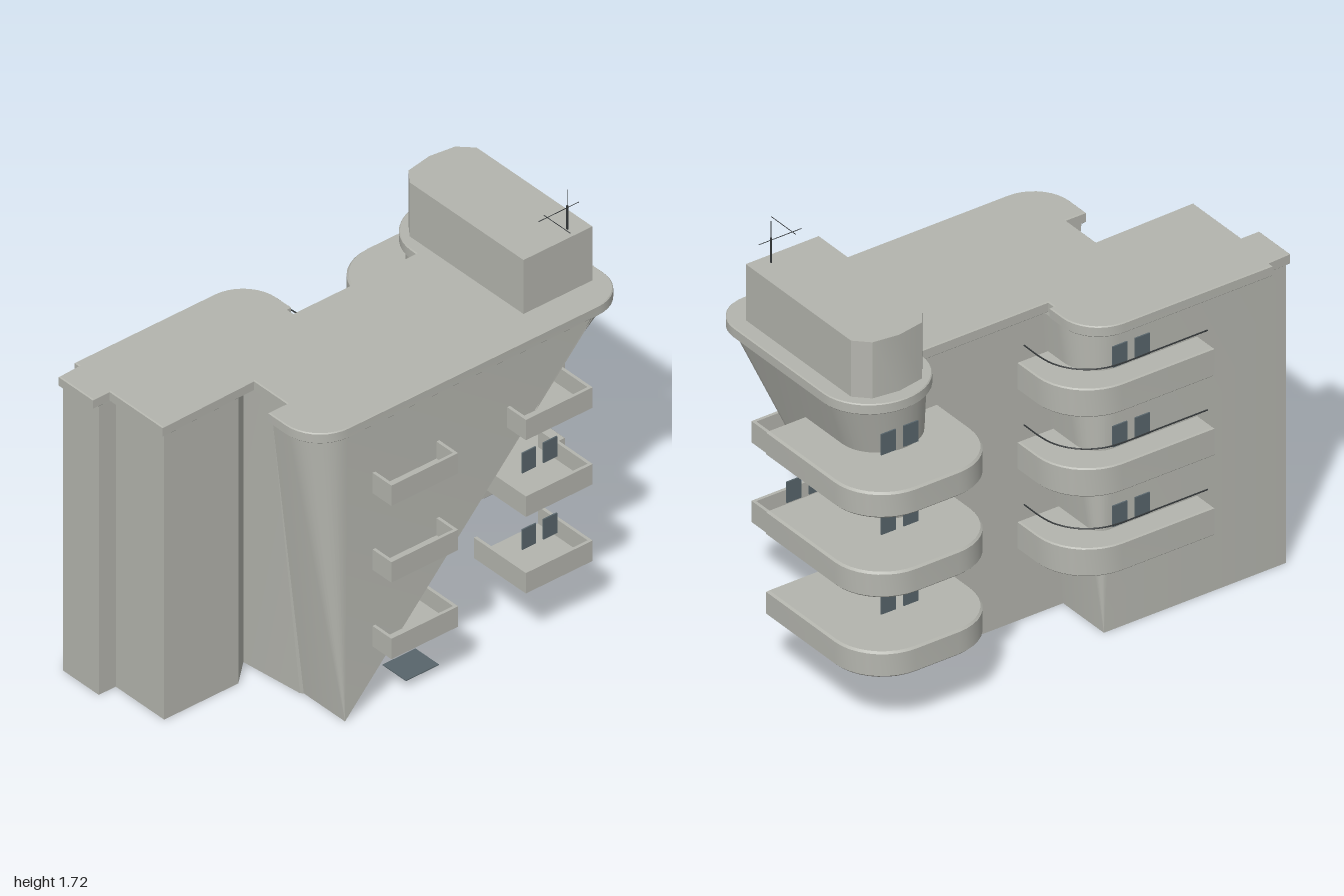
import * as THREE from 'three';
import { toCreasedNormals } from 'three/addons/utils/BufferGeometryUtils.js';

const material = (name, color) => {
  const m = new THREE.MeshStandardMaterial({ color, side: THREE.DoubleSide });
  m.name = name;
  return m;
};

// Points [x, z] along an elliptical arc
function arc(cx, cz, rx, rz, from, to, n = 9) {
  return Array.from({ length: n + 1 }, (_, i) => {
    const a = from + (to - from) * i / n;
    return [cx + rx * Math.cos(a), cz + rz * Math.sin(a)];
  });
}

const shapeOf = pts => new THREE.Shape(pts.map(p => new THREE.Vector2(p[0], p[1])));

// Horizontal slab with plan outline [x, z], from y0 up to y1
function slab(pts, y0, y1, bevel = 0) {
  const g = new THREE.ExtrudeGeometry(shapeOf(pts), {
    depth: y1 - y0 - 2 * bevel, bevelEnabled: bevel > 0,
    bevelSize: bevel, bevelThickness: bevel, bevelOffset: -bevel, bevelSegments: 1,
  });
  g.rotateX(Math.PI / 2).translate(0, y1 - bevel, 0);
  return toCreasedNormals(g, 0.5);
}

// Flat polygon fan through 3D points
function panel(...pts) {
  const pos = [];
  for (let i = 1; i < pts.length - 1; i++) pos.push(...pts[0], ...pts[i], ...pts[i + 1]);
  const g = new THREE.BufferGeometry();
  g.setAttribute('position', new THREE.Float32BufferAttribute(pos, 3));
  g.computeVertexNormals();
  return g;
}

export function createModel() {
  const model = new THREE.Group();
  model.name = 'building';
  const concrete = material('concrete', 0xb4b5ae);
  const glass = material('slate glass', 0x58656b);
  const metal = material('dark metal', 0x34383a);
  const add = (name, geo, mat = concrete) => {
    const m = new THREE.Mesh(geo, mat);
    m.name = name;
    model.add(m);
    return m;
  };
  const box = (name, x0, x1, y0, y1, z0, z1, mat) => add(name,
    new THREE.BoxGeometry(x1 - x0, y1 - y0, z1 - z0)
      .translate((x0 + x1) / 2, (y0 + y1) / 2, (z0 + z1) / 2), mat);
  const { PI } = Math, H = 1.27;

  // Body: rounded plan at the top, lofted to a smaller angular plan at the ground
  const straight = (...pts) => pts.map(p => ({ top: p, bot: p }));
  const cone = (pts, bot) => pts.map(top => ({ top, bot }));
  const west = [
    ...straight([-0.98, -0.42], [-0.98, -0.22], [-0.9, -0.22], [-0.9, 0.05], [-0.55, 0.05], [-0.45, -0.04]),
    { top: [-0.46, 0.24], bot: [-0.42, 0.24] },
    { top: [-0.55, 0.24], bot: [-0.41, 0.25] },
    ...cone(arc(-0.4, 0.33, 0.15, 0.15, PI, PI / 2), [-0.41, 0.48]),
  ];
  const ring = [
    ...west,
    ...cone(arc(0.77, 0.35, 0.13, 0.13, PI / 2, 0), [0.49, -0.15]),
    ...cone(arc(0.7, -0.2, 0.2, 0.185, 0, -PI, 16), [0.49, -0.16]),
    { top: [0.5, -0.17], bot: [0.49, -0.17] },
    { top: [-0.08, -0.17], bot: [-0.17, -0.17] },
    ...cone(arc(-0.24, -0.26, 0.16, 0.16, 0, -PI / 2), [-0.17, -0.42]),
  ];
  const pos = [];
  ring.forEach((a, i) => {
    const b = ring[(i + 1) % ring.length];
    const at = [a.top[0], H, a.top[1]], bt = [b.top[0], H, b.top[1]];
    const ab = [a.bot[0], 0, a.bot[1]], bb = [b.bot[0], 0, b.bot[1]];
    // the sloping front underside is made separately, with an opening
    if (a.bot !== b.bot && i !== west.length - 1) pos.push(...ab, ...bb, ...bt);
    pos.push(...ab, ...bt, ...at);
  });
  const walls = new THREE.BufferGeometry();
  walls.setAttribute('position', new THREE.Float32BufferAttribute(pos, 3));
  add('walls', toCreasedNormals(walls, 0.4));
  const foot = ring.map(r => r.bot).filter((p, i, all) => p !== all[i - 1]);
  add('groundFace', new THREE.ShapeGeometry(shapeOf(foot)).rotateX(PI / 2));

  // Sloping underside with the entrance recess
  const slopeZ = (x, y) => 0.48 - 0.7 * (x + 0.41) + 0.6556 * y;
  const xa = -0.08, xb = 0.075, back = 0.28, head = 0.28, ya = 0.047, yb = 0.212;
  const slope = shapeOf([[-0.41, 0], [0.49, 0], [0.77, H]]);
  slope.holes.push(shapeOf([[xa, ya], [xa, head], [xb, head], [xb, yb]]));
  const slopeGeo = new THREE.ShapeGeometry(slope);
  const sp = slopeGeo.attributes.position;
  for (let i = 0; i < sp.count; i++) sp.setZ(i, slopeZ(sp.getX(i), sp.getY(i)));
  slopeGeo.computeVertexNormals();
  add('slopingUnderside', slopeGeo);
  const za = slopeZ(xa, head), zb = slopeZ(xb, head);
  add('entranceBack', panel([xa, ya, back], [xb, yb, back], [xb, head, back], [xa, head, back]));
  add('entranceRightWall', panel([xa, ya, back], [xa, head, back], [xa, head, za]));
  add('entranceLeftWall', panel([xb, yb, back], [xb, head, zb], [xb, head, back]));
  add('entranceCeiling', panel([xa, head, back], [xb, head, back], [xb, head, zb], [xa, head, za]));
  box('entranceMat', xa, xb, 0, 0.004, 0.3, 0.43, glass);

  // Roof slab
  add('roof', slab([
    [-1, -0.42], [-1, -0.23], [-0.92, -0.23], [-0.92, 0.065], [-0.48, 0.055], [-0.48, 0.24], [-0.57, 0.24],
    ...arc(-0.41, 0.34, 0.16, 0.16, PI, PI / 2),
    ...arc(0.77, 0.35, 0.15, 0.15, PI / 2, 0),
    ...arc(0.7, -0.2, 0.22, 0.205, 0, -PI, 20),
    [0.48, -0.175], [-0.1, -0.175], [-0.1, -0.21], [-0.08, -0.21],
    ...arc(-0.24, -0.29, 0.16, 0.16, 0, -PI / 2),
    [-0.9, -0.45], [-0.9, -0.425],
  ], 1.262, 1.307, 0.004));

  // Rooftop plant room, rounded at the back
  add('plantRoom', slab([
    [0.53, 0.365], [0.855, 0.365], [0.855, -0.28], [0.8, -0.335], [0.69, -0.35], [0.575, -0.33], [0.53, -0.27],
  ], 1.3, 1.545));

  // Antenna
  box('antennaMast', 0.772, 0.778, 1.545, 1.65, 0.317, 0.323, metal);
  box('antennaTip', 0.774, 0.776, 1.65, 1.72, 0.319, 0.321, metal);
  box('antennaCrossbar', 0.64, 0.83, 1.639, 1.641, 0.319, 0.321, metal);
  box('antennaBoom', 0.679, 0.681, 1.639, 1.641, 0.3, 0.45, metal);

  // Balconies, windows and rails, storey by storey
  const towerBalcony = [
    [0.39, -0.17], ...arc(0.6, -0.38, 0.21, 0.21, PI, PI * 1.5),
    ...arc(0.79, -0.38, 0.21, 0.21, -PI / 2, 0), [1, 0.04], [0.5, 0.04], [0.5, -0.17],
  ];
  const rearBalcony = [
    [-0.59, -0.4], [-0.59, -0.52], ...arc(-0.18, -0.3, 0.22, 0.22, -PI / 2, 0),
    [0.04, -0.18], [-0.2, -0.18], [-0.2, -0.4],
  ];
  const railPath = new THREE.CatmullRomCurve3(
    [[-0.57, -0.505], [-0.35, -0.505], ...arc(-0.18, -0.3, 0.205, 0.205, -PI / 2, 0, 5), [0.025, -0.2]]
      .map(([x, z]) => new THREE.Vector3(x, 0, z)));
  const windowPair = (name, x, y, z) => {
    for (const dx of [0, 0.1]) box(name, x + dx, x + dx + 0.065, y, y + 0.088, z - 0.003, z + 0.003, glass);
  };
  for (let s = 0; s < 3; s++) {
    const y = s * 0.338;
    add('towerBalcony', slab(towerBalcony, y + 0.27, y + 0.378, 0.008));
    windowPair('towerWindow', 0.635, y + 0.417, -0.388);
    add('rearBalcony', slab(rearBalcony, y + 0.31, y + 0.43, 0.005));
    windowPair('rearWindow', -0.37, y + 0.44, -0.425);
    add('rearRail', new THREE.TubeGeometry(railPath, 40, 0.003, 5), metal).position.y = y + 0.505;
    // Open trays on the front
    for (const x of [-0.28, 0.355]) {
      const x1 = x + 0.315, y0 = y + 0.272, y1 = y + 0.362;
      box('frontBalconyFloor', x, x1, y0, y0 + 0.015, 0.295, 0.585);
      box('frontBalconyParapet', x, x1, y0, y1, 0.572, 0.585);
      box('frontBalconyEnd', x, x + 0.013, y0, y1, 0.295, 0.572);
      box('frontBalconyEnd', x1 - 0.013, x1, y0, y1, 0.295, 0.572);
    }
    if (s < 2) windowPair('frontWindow', 0.425, y + 0.377, 0.48);
  }
  return model;
}
